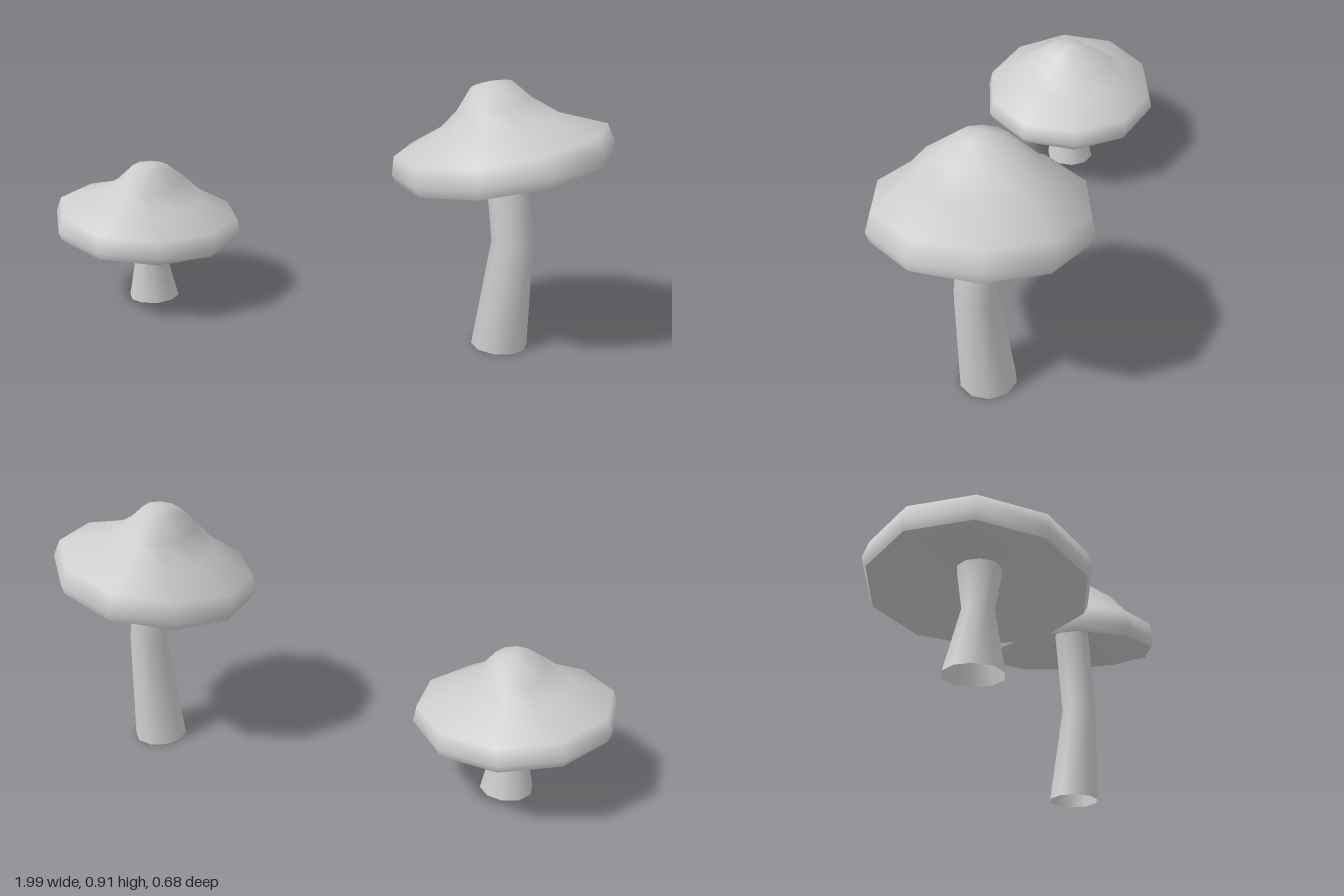
import * as THREE from 'three';
import { mergeVertices } from 'three/addons/utils/BufferGeometryUtils.js';

const SIDES = 10;
const material = new THREE.MeshStandardMaterial({ color: 0xcccccc });
const openMaterial = new THREE.MeshStandardMaterial({ color: 0xcccccc, side: THREE.DoubleSide });

// Cap rings: radius, height, narrowing along x
const TOP = [
  [0.328, -0.028, 1], [0.341, 0, 1], [0.326, 0.056, 1], [0.23, 0.115, 0.81],
  [0.172, 0.173, 0.64], [0.075, 0.23, 0.84], [0, 0.24, 1],
];
const UNDERSIDE = [
  [0, 0.06, 1], [0.16, 0.035, 1], [0.3, -0.015, 1], [0.328, -0.028, 1],
];

// Weld the seam so the shading runs smoothly all round
function smooth(geometry) {
  geometry.deleteAttribute('uv');
  geometry.deleteAttribute('normal');
  const welded = mergeVertices(geometry, 1e-4);
  welded.computeVertexNormals();
  return welded;
}

function part(name, geometry, mat) {
  const mesh = new THREE.Mesh(geometry, mat);
  mesh.name = name;
  return mesh;
}

// Lathed surface with oval rings, curled upwards along x
function curledLathe(rings, width, height) {
  const points = rings.map(([r, y]) => new THREE.Vector2(r, y * height));
  const geometry = new THREE.LatheGeometry(points, SIDES, -0.04);
  const p = geometry.attributes.position;
  for (let i = 0; i < p.count; i++) {
    const x = p.getX(i) * width * rings[i % rings.length][2];
    p.setX(i, x);
    p.setY(i, p.getY(i) + 0.12 * x * x);
  }
  return smooth(geometry);
}

// Bell-shaped cap with a rolled rim and a hollow underside
function createCap({ x, y, tilt, width, height }) {
  const cap = new THREE.Group();
  cap.name = 'cap';
  cap.add(
    part('capTop', curledLathe(TOP, width, height), material),
    part('capUnderside', curledLathe(UNDERSIDE, width, height), material),
  );
  cap.position.set(x, y, 0);
  cap.rotation.z = THREE.MathUtils.degToRad(tilt);
  return cap;
}

// Open tube through rings of [x, y, z, radius], listed from top to base
function createStem(rings) {
  const geometry = new THREE.CylinderGeometry(1, 1, 1, SIDES, rings.length - 1, true);
  const p = geometry.attributes.position;
  for (let i = 0; i < p.count; i++) {
    const [x, y, z, r] = rings[Math.floor(i / (SIDES + 1))];
    p.setXYZ(i, x + p.getX(i) * r, y, z + p.getZ(i) * r);
  }
  return part('stem', smooth(geometry), openMaterial);
}

function createMushroom(name, cap, stemRings) {
  const mushroom = new THREE.Group();
  mushroom.name = name;
  mushroom.add(createCap(cap), createStem(stemRings));
  return mushroom;
}

export function createModel() {
  const model = new THREE.Group();
  model.name = 'mushrooms';
  model.add(
    createMushroom('shortMushroom', { x: -0.667, y: 0.282, tilt: -6, width: 1.025, height: 1 }, [
      [-0.655, 0.335, 0, 0.07],
      [-0.66, 0.2, 0, 0.05],
      [-0.658, 0, -0.01, 0.093],
    ]),
    createMushroom('tallMushroom', { x: 0.651, y: 0.643, tilt: 10.8, width: 1.07, height: 1.14 }, [
      [0.655, 0.7, -0.004, 0.069],
      [0.699, 0.385, 0.013, 0.069],
      [0.669, 0, -0.01, 0.095],
    ]),
  );
  return model;
}
